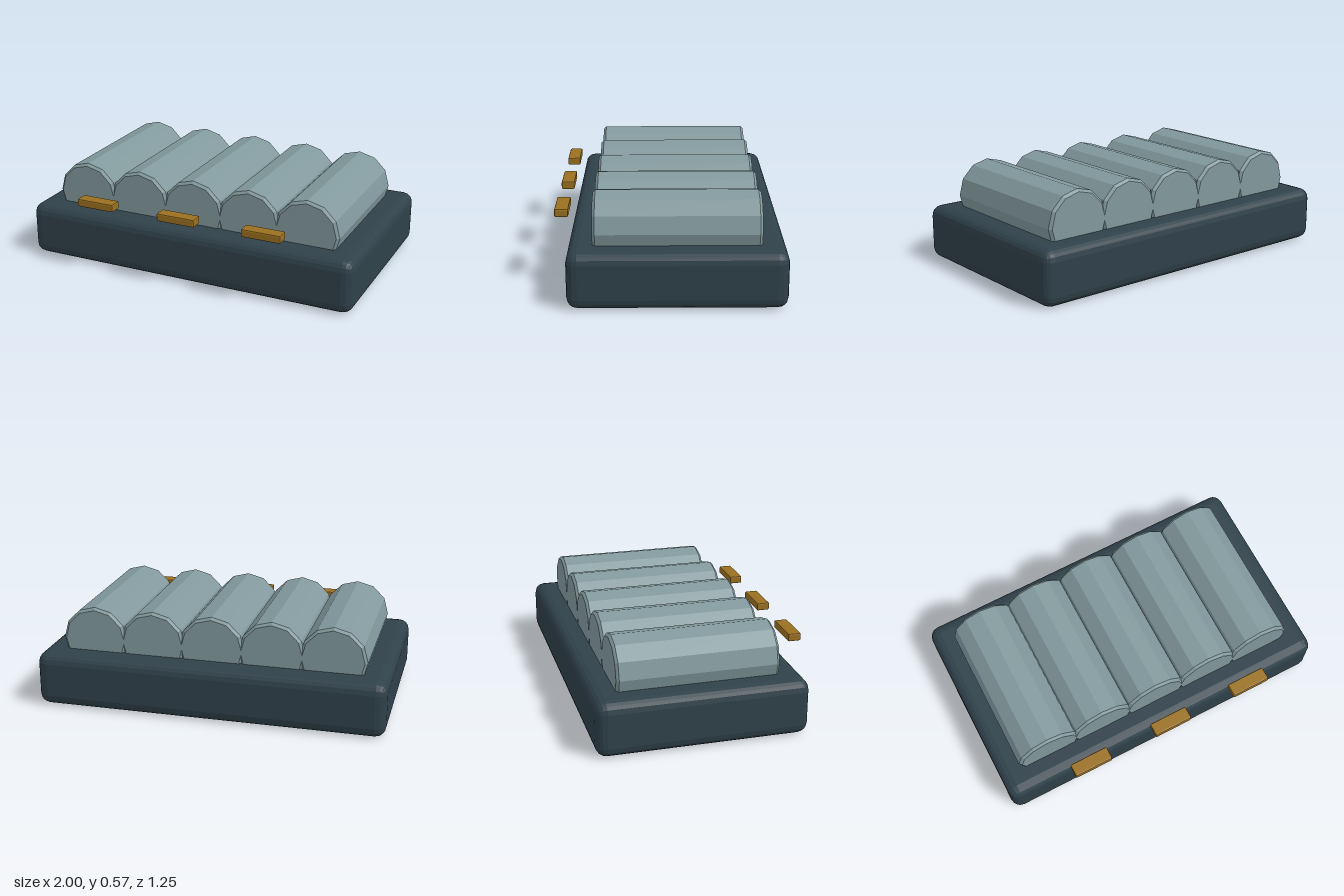
import * as THREE from 'three';
import { RoundedBoxGeometry } from 'three/addons/geometries/RoundedBoxGeometry.js';

const material = (color) => new THREE.MeshStandardMaterial({ color, flatShading: true });

export function createModel() {
  const model = new THREE.Group();
  model.name = 'rollerBed';
  const baseMat = material(0x2f414a);
  const rollMat = material(0x82999d);
  const tabMat = material(0x9a7020);

  const add = (name, geometry, mat, x, y, z) => {
    const mesh = new THREE.Mesh(geometry, mat);
    mesh.name = name;
    mesh.position.set(x, y, z);
    model.add(mesh);
    return mesh;
  };

  // Base slab with softened edges
  add('base', new RoundedBoxGeometry(2, 0.312, 1.17, 2, 0.06), baseMat, 0, 0.156, -0.04);

  // Five twelve-sided rolls with chamfered ends, half sunk into the base
  const r = 0.19, half = 0.45, bevel = 0.015;
  const profile = [
    [0, -half], [r - bevel, -half], [r, -half + bevel],
    [r, half - bevel], [r - bevel, half], [0, half],
  ].map(([x, y]) => new THREE.Vector2(x, y));
  const roll = new THREE.LatheGeometry(profile, 12).rotateX(Math.PI / 2);
  for (let i = -2; i <= 2; i++) {
    add(`roll${i + 3}`, roll, rollMat, i * 0.343, 0.378, -0.04);
  }

  // Three small tabs in front of the rolls
  const tab = new RoundedBoxGeometry(0.23, 0.046, 0.076, 1, 0.008);
  for (let i = -1; i <= 1; i++) {
    add(`tab${i + 2}`, tab, tabMat, i * 0.51, 0.414, 0.588);
  }

  return model;
}
